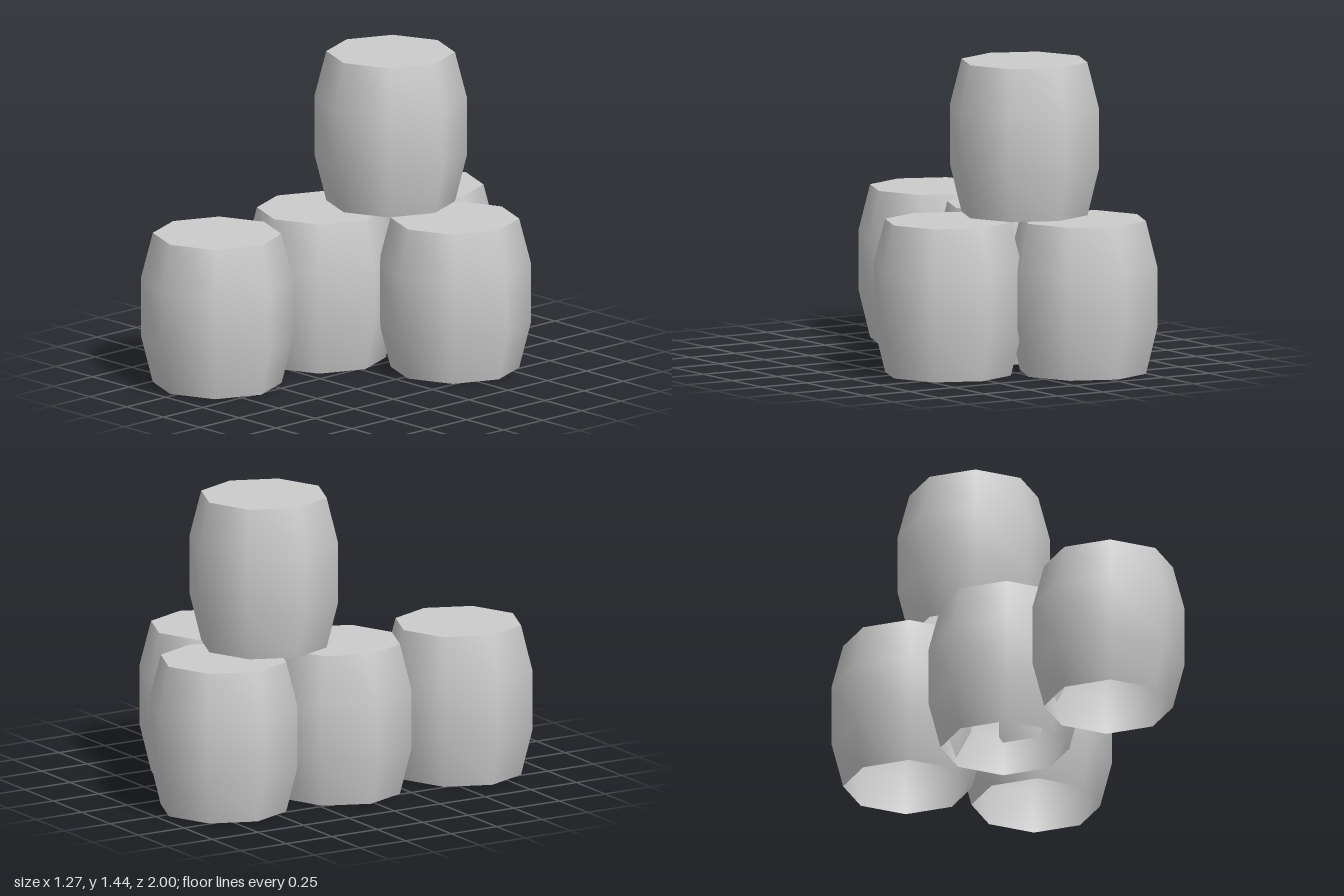
import * as THREE from 'three';

const HEIGHT = 0.72;
const END_RADIUS = 0.3;
const BELLY_RADIUS = 0.355;
const SIDES = 8;

export function createModel() {
  const model = new THREE.Group();
  model.name = 'barrelStack';

  const grey = new THREE.MeshStandardMaterial({ color: 0xcccccc, side: THREE.DoubleSide });
  grey.name = 'light grey';

  // Bulging eight-sided wall, open at the bottom
  const wallGeometry = new THREE.LatheGeometry([
    new THREE.Vector2(END_RADIUS, 0),
    new THREE.Vector2(BELLY_RADIUS, 0.22),
    new THREE.Vector2(BELLY_RADIUS, 0.505),
    new THREE.Vector2(END_RADIUS, HEIGHT),
  ], SIDES);

  // Flat lid closing the top
  const lidGeometry = new THREE.CircleGeometry(END_RADIUS, SIDES);
  lidGeometry.rotateX(-Math.PI / 2);
  lidGeometry.translate(0, HEIGHT, 0);

  function addBarrel(name, x, y, z) {
    const barrel = new THREE.Group();
    barrel.name = name;
    const wall = new THREE.Mesh(wallGeometry, grey);
    wall.name = 'barrelWall';
    const lid = new THREE.Mesh(lidGeometry, grey);
    lid.name = 'barrelLid';
    barrel.add(wall, lid);
    barrel.position.set(x, y, z);
    model.add(barrel);
  }

  // Four barrels on the ground, one stacked on top
  addBarrel('frontBarrel', -0.279, 0, 0.645);
  addBarrel('middleBarrel', -0.279, 0, -0.02);
  addBarrel('backBarrel', -0.279, 0, -0.645);
  addBarrel('sideBarrel', 0.279, 0, -0.35);
  addBarrel('topBarrel', -0.15, HEIGHT, -0.342);

  return model;
}
